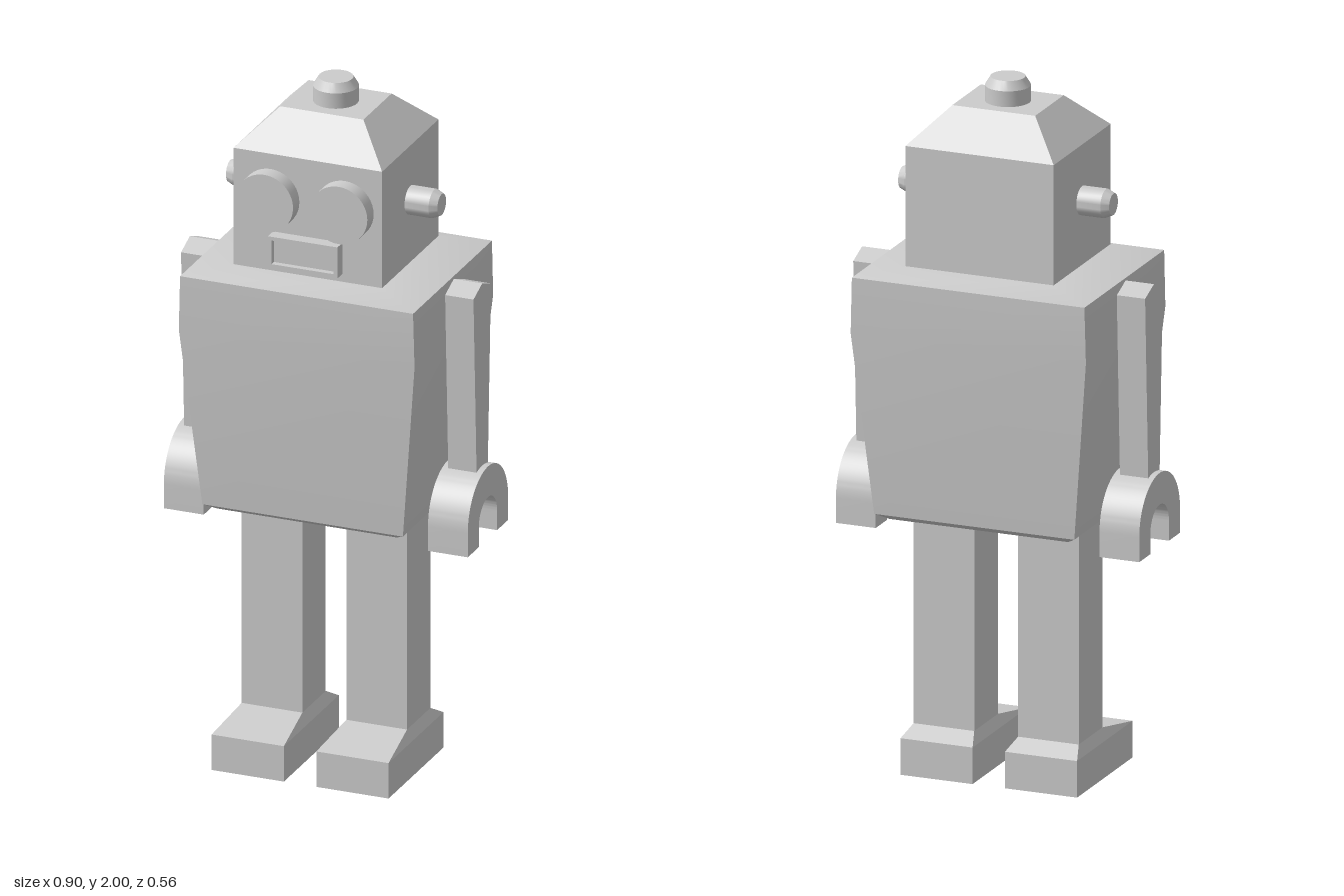
import * as THREE from 'three';
import { toCreasedNormals } from 'three/addons/utils/BufferGeometryUtils.js';

const grey = new THREE.MeshStandardMaterial({ color: 0xcccccc });

function add(parent, name, geometry, x = 0, y = 0, z = 0) {
  const mesh = new THREE.Mesh(geometry, grey);
  mesh.name = name;
  mesh.position.set(x, y, z);
  parent.add(mesh);
  return mesh;
}

// Closed loft through rectangles given as [y, halfWidth, zBack, zFront], bottom to top
function loft(rings) {
  const pos = [], index = [];
  for (const [y, w, back, front] of rings) {
    pos.push(-w, y, front, w, y, front, w, y, back, -w, y, back);
  }
  const last = (rings.length - 1) * 4;
  for (let r = 0; r < last; r += 4) {
    for (let i = 0; i < 4; i++) {
      const a = r + i, b = r + (i + 1) % 4;
      index.push(a, b, b + 4, a, b + 4, a + 4);
    }
  }
  index.push(0, 2, 1, 0, 3, 2, last, last + 1, last + 2, last, last + 2, last + 3);
  const g = new THREE.BufferGeometry();
  g.setAttribute('position', new THREE.Float32BufferAttribute(pos, 3));
  g.setIndex(index);
  return toCreasedNormals(g, 0.4);
}

// Side profile extruded across x, centred on x = 0
function sideExtrude(shape, width) {
  const g = new THREE.ExtrudeGeometry(shape, { depth: width, bevelEnabled: false, curveSegments: 24 });
  g.translate(0, 0, -width / 2).rotateY(Math.PI / 2);
  return toCreasedNormals(g, 0.5);
}

// Short round knob with a chamfered tip, standing on y = 0
function knob(radius, tipRadius, shoulder, height) {
  const profile = [[0, 0], [radius, 0], [radius, shoulder], [tipRadius, height], [0, height]];
  const g = new THREE.LatheGeometry(profile.map(p => new THREE.Vector2(...p)), 32);
  return toCreasedNormals(g, 0.4);
}

function rectangle(target, w, h) {
  target.moveTo(-w, -h);
  target.lineTo(w, -h);
  target.lineTo(w, h);
  target.lineTo(-w, h);
  target.closePath();
  return target;
}

export function createModel() {
  const robot = new THREE.Group();
  robot.name = 'robot';

  // Torso, tapering towards the waist
  add(robot, 'torso', loft([
    [0.755, 0.265, -0.205, 0.205],
    [0.775, 0.297, -0.237, 0.237],
    [1.3, 0.349, -0.279, 0.279],
    [1.46, 0.345, -0.28, 0.28],
    [1.485, 0.22, -0.2, 0.2],
  ]));

  // Head with sloping crown
  const head = new THREE.Group();
  head.name = 'head';
  robot.add(head);
  add(head, 'skull', loft([
    [1.47, 0.22, -0.2, 0.2],
    [1.83, 0.22, -0.2, 0.2],
    [1.93, 0.123, -0.1, 0.1],
  ]));
  add(head, 'topKnob', knob(0.063, 0.048, 0.055, 0.08), 0, 1.92, 0);

  // Mouth: raised frame around a recessed panel
  const frame = rectangle(new THREE.Shape(), 0.103, 0.046);
  frame.holes.push(rectangle(new THREE.Path(), 0.092, 0.035));
  add(head, 'mouthFrame', new THREE.ExtrudeGeometry(frame, { depth: 0.045, bevelEnabled: false }), 0, 1.555, 0.192);
  add(head, 'mouthPanel', new THREE.BoxGeometry(0.19, 0.076, 0.03), 0, 1.555, 0.205);

  // Arm profile with pointed shoulder
  const armShape = new THREE.Shape([
    [-0.038, 0.86], [0.038, 0.86], [0.062, 1.432], [0, 1.456], [-0.062, 1.432],
  ].map(p => new THREE.Vector2(...p)));

  // Open claw hand, an arch with its gap facing down
  const clawShape = new THREE.Shape();
  clawShape.moveTo(0.143, 0.702);
  clawShape.lineTo(0.143, 0.773);
  clawShape.absarc(0, 0.773, 0.143, 0, Math.PI, false);
  clawShape.lineTo(-0.143, 0.702);
  clawShape.lineTo(-0.065, 0.702);
  clawShape.lineTo(-0.065, 0.76);
  clawShape.absarc(0, 0.76, 0.065, Math.PI, 0, true);
  clawShape.lineTo(0.065, 0.702);
  clawShape.closePath();

  for (const [side, s] of [['left', 1], ['right', -1]]) {
    add(head, side + 'Eye', new THREE.CylinderGeometry(0.085, 0.085, 0.055, 40), s * 0.11, 1.7, 0.2175)
      .rotation.x = Math.PI / 2;
    add(head, side + 'Ear', knob(0.041, 0.031, 0.081, 0.103), s * 0.21, 1.67, 0)
      .rotation.z = -s * Math.PI / 2;

    add(robot, side + 'Arm', sideExtrude(armShape, 0.084), s * 0.391);
    add(robot, side + 'Hand', sideExtrude(clawShape, 0.118), s * 0.391);

    add(robot, side + 'Leg', new THREE.BoxGeometry(0.18, 0.65, 0.166), s * 0.155, 0.445, 0);
    add(robot, side + 'Foot', loft([
      [0, 0.107, -0.135, 0.255],
      [0.105, 0.107, -0.135, 0.255],
      [0.135, 0.09, -0.083, 0.083],
    ]).toNonIndexed(), s * 0.155);
  }
  // Crisp planes on the feet
  robot.traverse(o => {
    if (o.name.endsWith('Foot')) o.geometry.computeVertexNormals();
  });
  return robot;
}
